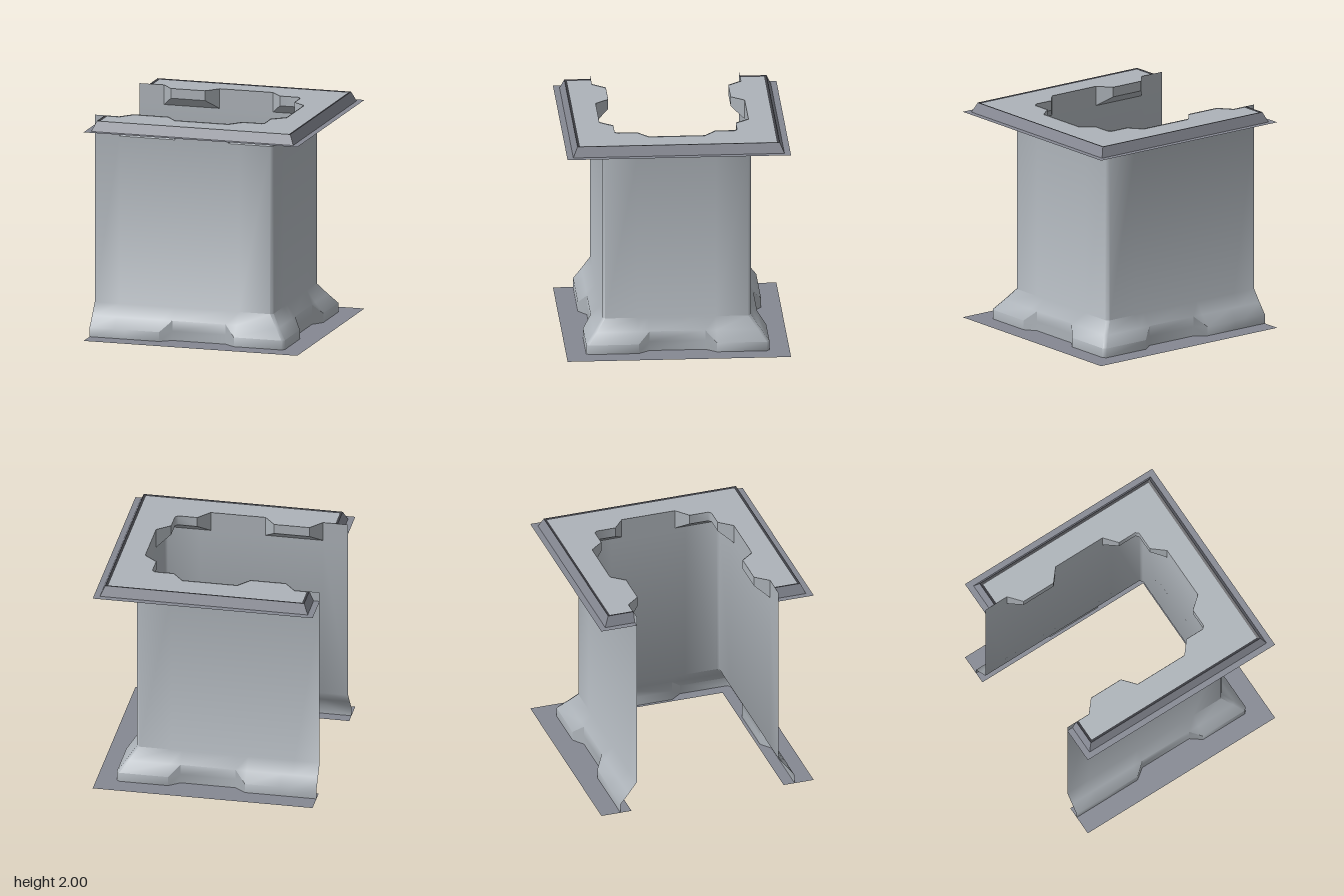
import * as THREE from 'three';
import { toCreasedNormals } from 'three/addons/utils/BufferGeometryUtils.js';

const flat = (name, color) => {
  const m = new THREE.MeshStandardMaterial({ color, side: THREE.DoubleSide });
  m.name = name;
  return m;
};

// Surface through rows of points; flip(i, j) picks the quad's diagonal
function loft(rows, crease, flip = () => false) {
  const n = rows[0].length, index = [];
  for (let j = 0; j < rows.length - 1; j++) {
    for (let i = 0; i < n - 1; i++) {
      const a = j * n + i, b = a + 1, d = a + n, c = d + 1;
      if (flip(i, j)) index.push(a, b, d, b, c, d);
      else index.push(a, b, c, a, c, d);
    }
  }
  const g = new THREE.BufferGeometry();
  g.setAttribute('position', new THREE.Float32BufferAttribute(rows.flat(2), 3));
  g.setIndex(index);
  return toCreasedNormals(g, crease);
}

// Horizontal sheet from a plan outline of [x, z] points
function sheet(points, y) {
  const shape = new THREE.Shape(points.map(([x, z]) => new THREE.Vector2(x, -z)));
  return new THREE.ShapeGeometry(shape).rotateX(-Math.PI / 2).translate(0, y, 0);
}

export function createModel() {
  const group = new THREE.Group();
  const wallMat = flat('pale grey', 0xadb3b9);
  const rimMat = flat('mid grey', 0x858892);
  const trimMat = flat('dark grey', 0x3c3d42);
  const add = (name, geometry, material) => {
    const mesh = new THREE.Mesh(geometry, material);
    mesh.name = name;
    group.add(mesh);
  };

  // Wall columns: plan position for a given offset, top ledge and foot flare flags
  const R = 0.025;
  const half = [
    [-1, 0, 1], [-0.77, 0, 1], [-0.67, 1, 1], [-0.35, 1, 1],
    [-0.25, 0, 0], [0.25, 0, 0], [0.35, 1, 1],
  ].map(([x, ledge, flare]) => ({ at: o => [x, o], ledge, flare }));
  half.push({ at: o => [o - R, o], ledge: 1, flare: 1 });
  half.push({ at: o => [o, o - R], ledge: 1, flare: 1 });
  half.push({ at: o => [o, 0.35], ledge: 1, flare: 1 });
  half.push({ at: o => [o, 0.25], ledge: 0, flare: 0 });
  const mirrored = half.slice().reverse().map(c => ({
    ...c, at: o => { const [x, z] = c.at(o); return [x, -z]; },
  }));
  const columns = [...half, ...mirrored];

  // Wall profile: height, plain offset, offset where a flare or ledge applies
  const foot = 0.745, face = 0.667, ledge = 0.548;
  const levels = [
    [0, c => (c.flare ? 0.82 : foot)],
    [0.085, c => (c.flare ? 0.82 : foot)],
    [0.18, () => foot],
    [0.285, () => face],
    [1.82, () => face],
    [1.91, c => (c.ledge ? ledge : face)],
    [2, c => (c.ledge ? ledge : face)],
  ];
  const rows = levels.map(([y, off]) => columns.map(c => {
    const [x, z] = c.at(off(c));
    return [x, y, z];
  }));
  const reach = (i, j) => levels[j][1](columns[i]) + levels[j + 1][1](columns[i]);
  add('wall', loft(rows, 0.85, (i, j) => reach(i + 1, j) > reach(i, j) + 1e-6), wallMat);

  // Top plate, its opening following the wall's upper edge
  const edge = 0.882;
  const opening = rows[rows.length - 1].map(([x, , z]) => [Math.max(x, -edge), z]);
  add('topPlate', sheet([
    ...opening, [-edge, -edge], [edge, -edge], [edge, edge], [-edge, edge],
  ], 1.994), wallMat);

  // Rim around the plate, broken at the open side
  const ring = (r, y) => [
    [-r, y, face], [-r, y, r], [r, y, r], [r, y, -r], [-r, y, -r], [-r, y, -face],
  ];
  add('topFlange', loft([ring(1, 1.91), ring(0.945, 1.91)], 0.2), rimMat);
  add('topRim', loft([ring(0.945, 1.91), ring(0.905, 2)], 0.2), rimMat);
  add('rimTrim', loft([ring(0.905, 2), ring(edge, 1.994)], 0.2), trimMat);

  // U-shaped floor flange
  const inner = 0.716;
  add('floorFlange', sheet([
    [-1, 1], [1, 1], [1, -1], [-1, -1],
    [-1, -inner], [inner, -inner], [inner, inner], [-1, inner],
  ], 0), rimMat);

  return group;
}
